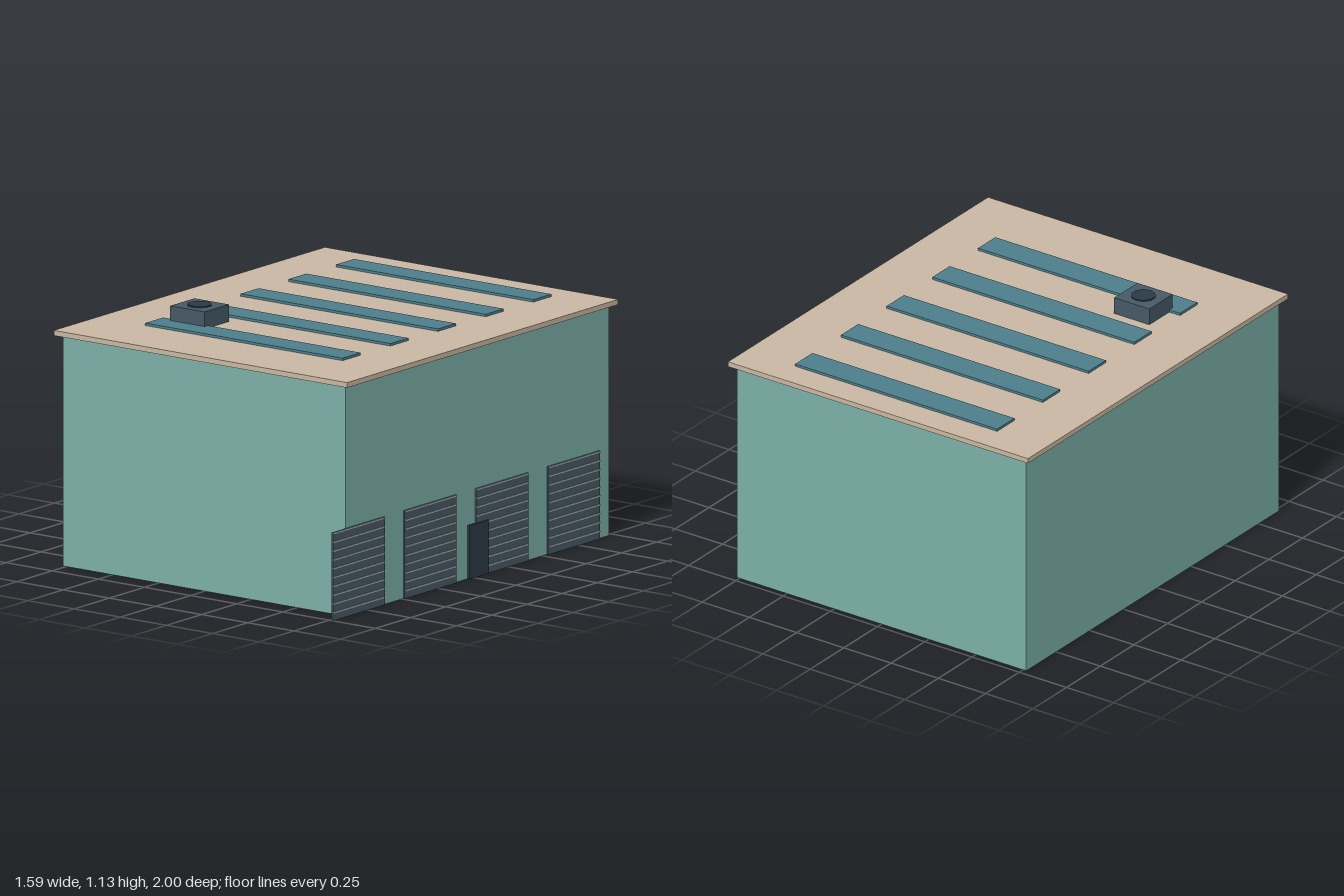
import * as THREE from 'three';

const mat = (color) => new THREE.MeshStandardMaterial({ color, flatShading: true });
const wallMat = mat(0x7cb0a8), roofMat = mat(0xcab8a3), glassMat = mat(0x4d7f8c);
const metalMat = mat(0x465a66), darkMat = mat(0x2c3a47), ribMat = mat(0xaab0ae);

// Box given by its minimum and maximum corners
function box(name, material, [x0, y0, z0], [x1, y1, z1]) {
  const mesh = new THREE.Mesh(new THREE.BoxGeometry(x1 - x0, y1 - y0, z1 - z0), material);
  mesh.position.set((x0 + x1) / 2, (y0 + y1) / 2, (z0 + z1) / 2);
  mesh.name = name;
  return mesh;
}

// Roller shutter: a thin panel crossed by narrow horizontal ribs
function shutter(z0, z1) {
  const door = new THREE.Group();
  door.name = 'shutterDoor';
  const height = 0.39, slats = 10;
  door.add(box('shutterPanel', metalMat, [0.763, 0, z0], [0.77, height, z1]));
  for (let i = 1; i <= slats; i++) {
    const y = (i * height) / slats - 0.004;
    door.add(box('shutterRib', ribMat, [0.764, y - 0.003, z0 + 0.002], [0.773, y + 0.003, z1 - 0.002]));
  }
  return door;
}

export function createModel() {
  const model = new THREE.Group();
  model.name = 'warehouse';

  // Main hall and overhanging flat roof
  model.add(box('walls', wallMat, [-0.767, 0, -0.972], [0.763, 1.022, 0.9]));
  model.add(box('roof', roofMat, [-0.796, 1.022, -1], [0.792, 1.045, 0.928]));

  // Row of roof skylights
  for (let i = 0; i < 5; i++) {
    const z = -0.802 + i * 0.339;
    model.add(box('skylight', glassMat, [-0.537, 1.04, z - 0.064], [0.532, 1.056, z + 0.064]));
  }

  // Loading doors along the left wall, the first one reaching past the corner
  for (let i = 0; i < 4; i++) {
    const z = 0.815 - i * 0.51;
    model.add(shutter(z - 0.185, z + 0.185));
  }
  model.add(box('staffDoor', darkMat, [0.763, 0, -0.103], [0.775, 0.238, 0.034]));

  // Rooftop ventilation unit with fan
  const vent = new THREE.Group();
  vent.name = 'ventilationUnit';
  vent.add(box('ventHousing', metalMat, [-0.48, 1.04, 0.342], [-0.294, 1.121, 0.515]));
  const fan = new THREE.Mesh(new THREE.CylinderGeometry(0.054, 0.054, 0.016, 10), darkMat);
  fan.name = 'fan';
  fan.position.set(-0.387, 1.119, 0.428);
  vent.add(fan);
  model.add(vent);

  return model;
}
